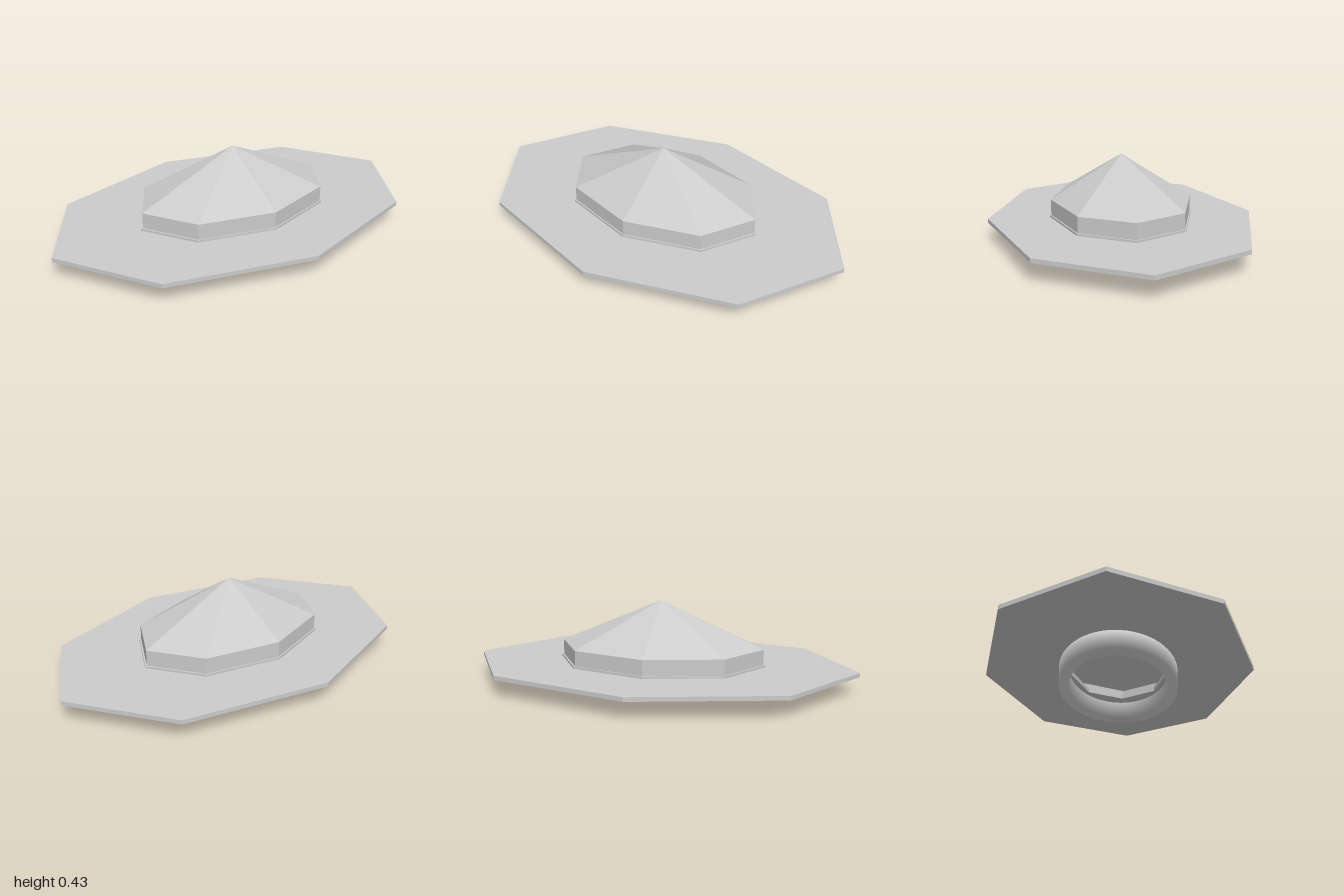
import * as THREE from 'three';

// Elliptical turned part: profile of [radius, height] points, squashed in z
function turned(name, profile, segments, depth, faceted) {
  const points = profile.map(([r, y]) => new THREE.Vector2(r, y));
  const geometry = new THREE.LatheGeometry(points, segments);
  geometry.scale(1, 1, depth);
  geometry.computeVertexNormals();
  const material = new THREE.MeshStandardMaterial({
    color: 0xcccccc,
    flatShading: faceted,
    side: THREE.DoubleSide,
  });
  const mesh = new THREE.Mesh(geometry, material);
  mesh.name = name;
  return mesh;
}

export function createModel() {
  const group = new THREE.Group();
  group.name = 'octagonalHat';

  // Thin octagonal brim with an octagonal opening
  group.add(turned('brim',
    [[0.365, 0.11], [0.365, 0.089], [1, 0.089], [1, 0.11], [0.365, 0.11]], 8, 0.68, true));

  // Narrow band where the crown meets the brim
  group.add(turned('crownBand',
    [[0.53, 0.11], [0.54, 0.11], [0.54, 0.121], [0.53, 0.121]], 8, 0.68, true));

  // Hollow crown: upright wall and pointed roof
  group.add(turned('crownWall', [[0.53, 0.11], [0.53, 0.2]], 8, 0.68, true));
  group.add(turned('crownRoof', [[0.53, 0.2], [0, 0.43]], 8, 0.68, true));

  // Smooth oval head ring under the brim, slightly off centre
  const ring = turned('headRing',
    [[0.415, 0.09], [0.415, 0], [0.498, 0], [0.498, 0.09], [0.415, 0.09]], 64, 0.6, false);
  ring.position.set(0.012, 0, -0.002);
  group.add(ring);

  return group;
}
